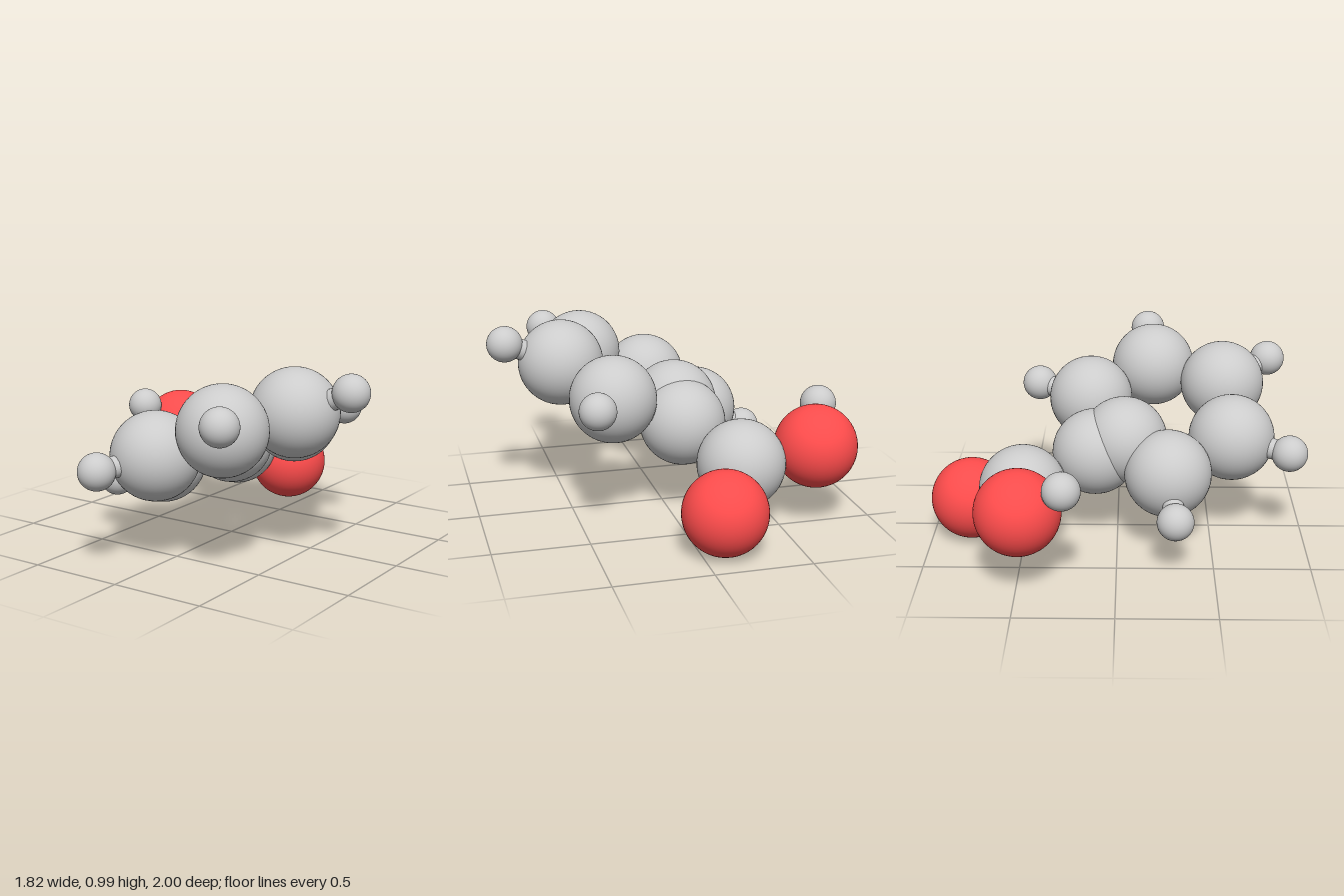
import * as THREE from 'three';

export function createModel() {
  const model = new THREE.Group();
  const grey = new THREE.MeshStandardMaterial({ color: 0xcccccc });
  const red = new THREE.MeshStandardMaterial({ color: 0xff4c4c });

  // One shared sphere per kind of atom
  const sphere = (r) => new THREE.SphereGeometry(r, 48, 32);
  const kinds = {
    carbon: { geometry: sphere(0.228), material: grey },
    oxygen: { geometry: sphere(0.217), material: red },
    hydrogen: { geometry: sphere(0.095), material: grey },
  };

  function atom(name, kind, position) {
    const mesh = new THREE.Mesh(kinds[kind].geometry, kinds[kind].material);
    mesh.name = name;
    mesh.position.set(...position);
    model.add(mesh);
    return mesh.position;
  }

  // Thin rod joining two atom centres
  function bond(name, a, b) {
    const dir = b.clone().sub(a);
    const mesh = new THREE.Mesh(new THREE.CylinderGeometry(0.055, 0.055, dir.length(), 24), grey);
    mesh.name = name;
    mesh.position.copy(a).addScaledVector(dir, 0.5);
    mesh.quaternion.setFromUnitVectors(new THREE.Vector3(0, 1, 0), dir.normalize());
    model.add(mesh);
  }

  // Tilted six-carbon ring; the first five carry a hydrogen each
  const ring = [
    { c: [0.30, 0.647, -0.152], h: [0.44, 0.68, -0.445] },
    { c: [0.51, 0.768, 0.193], h: [0.81, 0.893, 0.165] },
    { c: [0.336, 0.724, 0.573], h: [0.50, 0.812, 0.835] },
    { c: [-0.048, 0.553, 0.605], h: [-0.18, 0.515, 0.902] },
    { c: [-0.257, 0.433, 0.265], h: [-0.55, 0.295, 0.298] },
    { c: [-0.082, 0.482, -0.118] },
  ];
  const centres = ring.map(({ c, h }, i) => {
    const p = atom(`ringCarbon${i + 1}`, 'carbon', c);
    if (h) bond(`hydrogenBond${i + 1}`, p, atom(`ringHydrogen${i + 1}`, 'hydrogen', h));
    return p;
  });
  centres.forEach((p, i) => bond(`ringBond${i + 1}`, p, centres[(i + 1) % 6]));

  // Extra carbon overlapping the ring
  atom('innerCarbon', 'carbon', [-0.075, 0.548, 0.035]);

  // Acid group hanging off the last ring carbon
  const acid = atom('acidCarbon', 'carbon', [-0.29, 0.36, -0.49]);
  const doubleOxygen = atom('doubleBondedOxygen', 'oxygen', [-0.116, 0.221, -0.782]);
  const acidOxygen = atom('hydroxylOxygen', 'oxygen', [-0.695, 0.416, -0.482]);
  const acidHydrogen = atom('hydroxylHydrogen', 'hydrogen', [-0.79, 0.574, -0.26]);
  bond('acidBond', centres[5], acid);
  bond('doubleOxygenBond', acid, doubleOxygen);
  bond('hydroxylBond', acid, acidOxygen);
  bond('hydroxylHydrogenBond', acidOxygen, acidHydrogen);

  return model;
}
